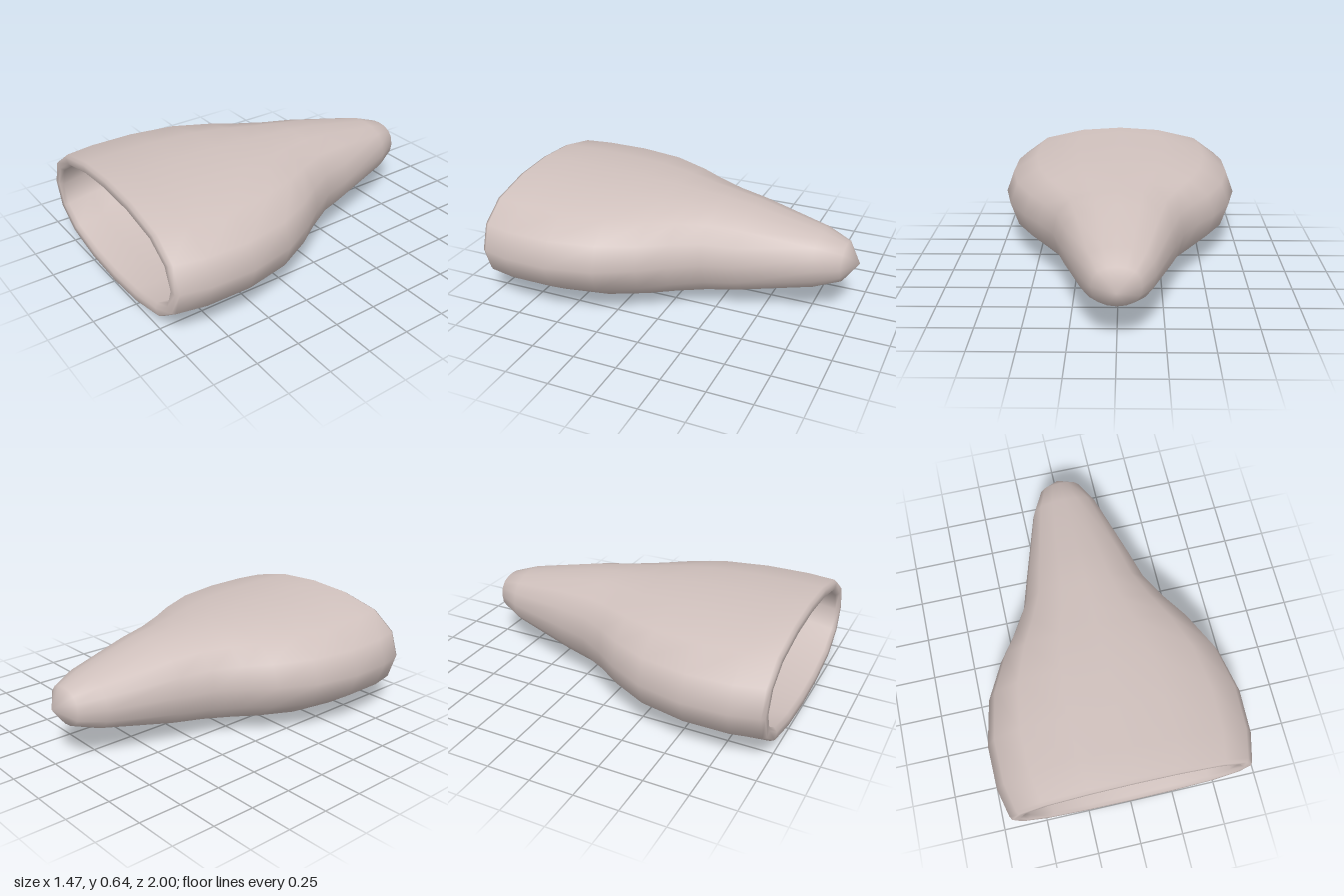
import * as THREE from 'three';
import { mergeVertices } from 'three/addons/utils/BufferGeometryUtils.js';

const CENTRE_Y = 0.324;
const SIDES = 16;

// Quarter of the flattened oval section, unit size, mirrored into all quadrants
const QUARTER_X = [1, 0.93, 0.725, 0.37, 0];
const QUARTER_Y = [0, 0.45, 0.775, 0.95, 1];

function ovalPoint(j) {
  const m = j % 8;
  const k = m <= 4 ? m : 8 - m;
  const sx = j > 4 && j < 12 ? -1 : 1;
  const sy = j > 8 ? -1 : 1;
  return [sx * QUARTER_X[k], sy * QUARTER_Y[k]];
}

// Skin a row of ovals given as [z, half width, half height]
function loft(rings) {
  const positions = [];
  const index = [];
  for (const [z, w, h] of rings) {
    for (let j = 0; j < SIDES; j++) {
      const [x, y] = ovalPoint(j);
      positions.push(x * w, CENTRE_Y + y * h, z);
    }
  }
  for (let i = 0; i < rings.length - 1; i++) {
    for (let j = 0; j < SIDES; j++) {
      const n = (j + 1) % SIDES;
      const a = i * SIDES + j, b = i * SIDES + n;
      const c = a + SIDES, d = b + SIDES;
      if (rings[i][1] > 0) index.push(a, b, c);
      if (rings[i + 1][1] > 0) index.push(b, d, c);
    }
  }
  let geometry = new THREE.BufferGeometry();
  geometry.setAttribute('position', new THREE.Float32BufferAttribute(positions, 3));
  geometry.setIndex(index);
  geometry = mergeVertices(geometry, 1e-5); // one shared vertex at each tip
  geometry.computeVertexNormals();
  return geometry;
}

export function createModel() {
  const group = new THREE.Group();
  group.name = 'hollowTaperedShell';
  const shellMaterial = new THREE.MeshStandardMaterial({ color: 0xd0c1bd });
  shellMaterial.name = 'pale pinkish grey';

  // Outer skin, from the closed tip to the mouth
  const outer = [
    [-1, 0, 0],
    [-0.92, 0.127, 0.106],
    [-0.78, 0.2, 0.155],
    [-0.38, 0.322, 0.238],
    [-0.2, 0.375, 0.262],
    [-0.04, 0.47, 0.275],
    [0.1, 0.57, 0.287],
    [0.31, 0.68, 0.302],
    [0.57, 0.735, 0.309],
    [0.82, 0.729, 0.315],
    [0.98, 0.69, 0.319],
  ];
  // Rounded lip
  const lip = [
    [1, 0.678, 0.31],
    [1, 0.638, 0.27],
    [0.98, 0.62, 0.25],
  ];
  // Inner skin, back to the inside of the tip
  const inner = [
    [0.82, 0.665, 0.252],
    [0.57, 0.672, 0.248],
    [0.32, 0.62, 0.242],
    [0.13, 0.52, 0.228],
    [-0.01, 0.42, 0.215],
    [-0.18, 0.32, 0.2],
    [-0.38, 0.262, 0.177],
    [-0.76, 0.142, 0.098],
    [-0.87, 0.08, 0.06],
    [-0.92, 0, 0],
  ];

  const shell = new THREE.Mesh(loft([...outer, ...lip, ...inner]), shellMaterial);
  shell.name = 'shell';
  group.add(shell);
  return group;
}
